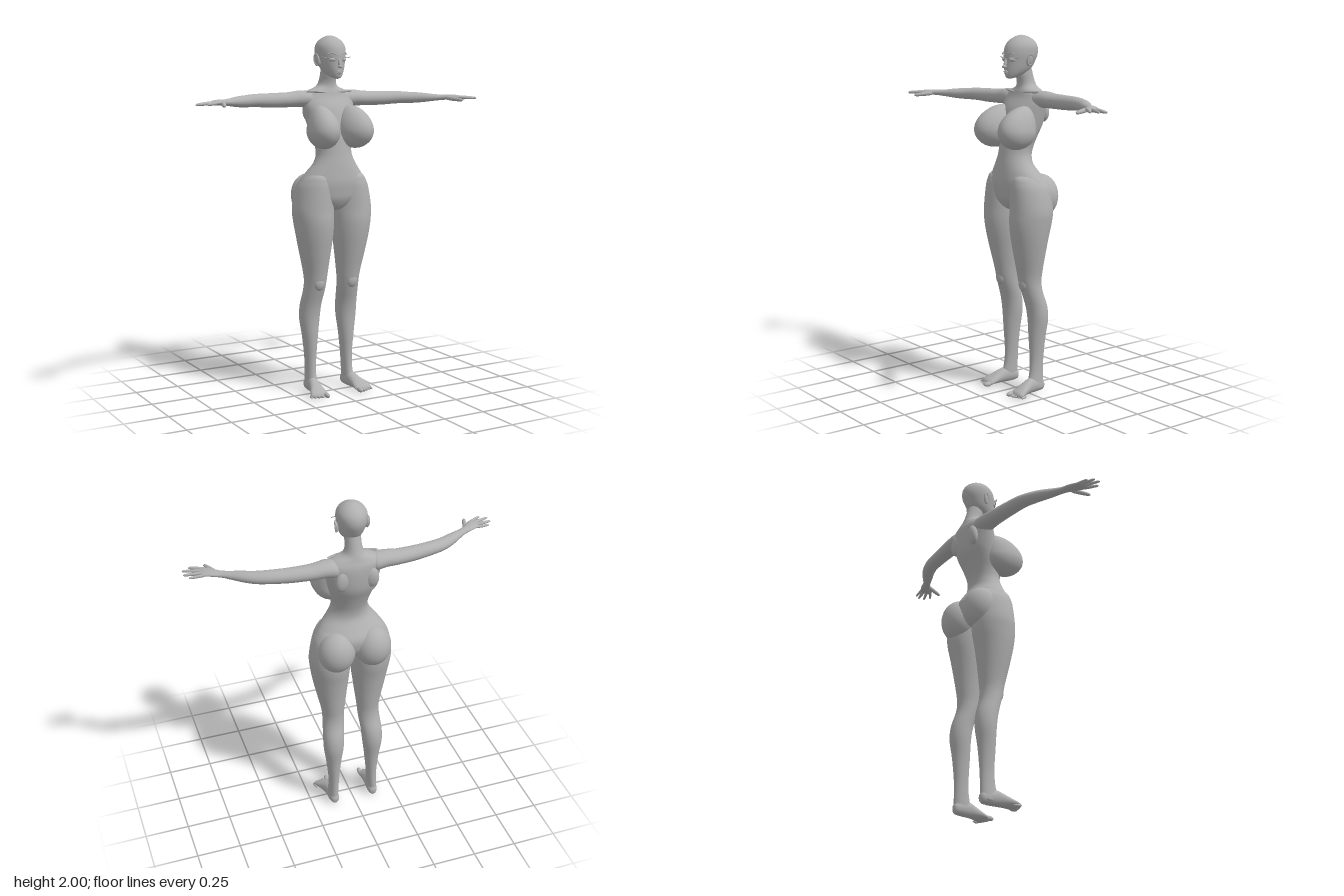
import * as THREE from 'three';

const X = new THREE.Vector3(1, 0, 0), Y = new THREE.Vector3(0, 1, 0), Z = new THREE.Vector3(0, 0, 1);

// Smooth curve through rows of numbers, column by column
function refine(rows, sub) {
  const out = [];
  const at = i => rows[Math.min(Math.max(i, 0), rows.length - 1)];
  for (let i = 0; i < rows.length - 1; i++) {
    for (let k = 0; k < sub; k++) {
      const t = k / sub;
      out.push(rows[i].map((b, c) => {
        const a = at(i - 1)[c], d = at(i + 1)[c], e = at(i + 2)[c];
        return b + 0.5 * t * (d - a + t * (2 * a - 5 * b + 4 * d - e + t * (3 * (b - d) + e - a)));
      }));
    }
  }
  out.push(rows[rows.length - 1]);
  return out;
}

// Skin over elliptical rings [x, y, z, radiusU, radiusV]; u cross v points along the rows
function loft(rows, u, v, n = 32, sub = 4) {
  const rings = refine(rows, sub), pos = [], index = [];
  rings.forEach(([x, y, z, a, b], i) => {
    for (let j = 0; j < n; j++) {
      const th = (j / n) * Math.PI * 2;
      const c = Math.cos(th) * Math.max(a, 0.0002), s = Math.sin(th) * Math.max(b, 0.0002);
      pos.push(x + u.x * c + v.x * s, y + u.y * c + v.y * s, z + u.z * c + v.z * s);
      if (i === rings.length - 1) continue;
      const p = i * n + j, q = i * n + (j + 1) % n;
      index.push(p, q, p + n, q, q + n, p + n);
    }
  });
  const g = new THREE.BufferGeometry();
  g.setAttribute('position', new THREE.Float32BufferAttribute(pos, 3));
  g.setIndex(index);
  g.computeVertexNormals();
  return g;
}

// Upright loft from [y, xMin, xMax, zBack, zFront]
const upright = (rows, n) => loft(rows.map(([y, x0, x1, z0, z1]) =>
  [(x0 + x1) / 2, y, (z0 + z1) / 2, (z1 - z0) / 2, (x1 - x0) / 2]), Z, X, n);

// Tapered finger between two points
function finger(a, b, r) {
  const A = new THREE.Vector3(...a), B = new THREE.Vector3(...b);
  const u = new THREE.Vector3().crossVectors(Y, B.clone().sub(A)).normalize();
  const rows = [[0, 0], [0.05, 0.9], [0.4, 1], [0.75, 0.85], [0.94, 0.6], [1, 0]].map(([t, k]) =>
    [...A.clone().lerp(B, t).toArray(), r * k, r * k]);
  return loft(rows, u, Y, 12, 3);
}

function ball([x, y, z], [a, b, c], [rx, ry, rz] = [0, 0, 0]) {
  return new THREE.SphereGeometry(1, 32, 24).scale(a, b, c)
    .rotateX(rx).rotateY(ry).rotateZ(rz).translate(x, y, z);
}

const strand = (pts, r) => new THREE.TubeGeometry(
  new THREE.CatmullRomCurve3(pts.map(p => new THREE.Vector3(...p))), 12, r, 6);

function mirrored(g) {
  const m = g.clone().scale(-1, 1, 1), id = m.index.array;
  for (let i = 0; i < id.length; i += 3) [id[i], id[i + 1]] = [id[i + 1], id[i]];
  m.computeVertexNormals();
  return m;
}

export function createModel() {
  const group = new THREE.Group();
  const clay = new THREE.MeshStandardMaterial({ color: 0xb0b0b0 });
  clay.name = 'grey clay';
  const add = (name, g) => {
    const mesh = new THREE.Mesh(g, clay);
    mesh.name = name;
    group.add(mesh);
  };
  const pair = (name, g) => {
    add('left ' + name, g);
    add('right ' + name, mirrored(g));
  };

  // Torso and neck: y, half width, back, front
  add('torso', upright([
    [1.035, 0, 0, 0], [1.05, 0.05, -0.06, 0.06], [1.1, 0.165, -0.12, 0.095], [1.15, 0.2, -0.14, 0.105],
    [1.2, 0.197, -0.14, 0.11], [1.25, 0.165, -0.11, 0.106], [1.3, 0.126, -0.08, 0.1],
    [1.35, 0.104, -0.08, 0.092], [1.4, 0.105, -0.095, 0.085], [1.45, 0.118, -0.115, 0.078],
    [1.52, 0.135, -0.145, 0.06], [1.6, 0.152, -0.153, 0.035], [1.66, 0.16, -0.15, 0],
    [1.695, 0.125, -0.138, -0.012], [1.72, 0.066, -0.13, -0.02], [1.75, 0.047, -0.12, -0.018],
    [1.8, 0.043, -0.105, -0.005], [1.85, 0.04, -0.09, -0.02],
  ].map(([y, w, b, f]) => [y, -w, w, b, f]), 48));

  // Head
  add('head', upright([
    [1.764, 0, 0.04, 0.045], [1.77, 0.022, 0.01, 0.06], [1.79, 0.043, -0.05, 0.066],
    [1.82, 0.06, -0.095, 0.068], [1.86, 0.072, -0.12, 0.067], [1.9, 0.08, -0.135, 0.067],
    [1.94, 0.079, -0.132, 0.056], [1.97, 0.062, -0.112, 0.033], [1.99, 0.036, -0.08, 0],
    [1.998, 0.015, -0.055, -0.025], [2, 0, -0.04, -0.04],
  ].map(([y, w, b, f]) => [y, -w, w, b, f]), 48));

  // Face
  add('nose bridge', ball([0, 1.85, 0.069], [0.008, 0.03, 0.011], [-0.3, 0, 0]));
  add('nose tip', ball([0, 1.831, 0.077], [0.012, 0.009, 0.014]));
  add('upper lip', ball([0, 1.804, 0.067], [0.018, 0.005, 0.009]));
  add('lower lip', ball([0, 1.795, 0.065], [0.015, 0.006, 0.01]));
  pair('eye', ball([0.034, 1.868, 0.052], [0.02, 0.011, 0.012], [0, 0.45, 0]));
  pair('eyelashes', strand([[0.016, 1.87, 0.066], [0.034, 1.88, 0.066], [0.055, 1.878, 0.052], [0.088, 1.882, 0.036]], 0.0025));
  pair('eyebrow', strand([[0.014, 1.893, 0.066], [0.036, 1.903, 0.061], [0.06, 1.897, 0.045]], 0.003));
  pair('ear', ball([0.08, 1.866, -0.035], [0.009, 0.033, 0.019], [-0.2, -0.35, -0.12]));
  pair('ear rim', new THREE.TorusGeometry(0.022, 0.004, 8, 24).scale(0.75, 1.35, 1)
    .rotateY(Math.PI / 2 - 0.35).rotateZ(-0.12).translate(0.086, 1.868, -0.036));

  // Bust: fuller below, sloping back into the chest above
  const bust = new THREE.SphereGeometry(1, 40, 32), p = bust.attributes.position;
  for (let i = 0; i < p.count; i++) {
    const x = p.getX(i), y = p.getY(i), z = p.getZ(i), up = Math.max(y, 0);
    p.setXYZ(i, 0.096 + x * 0.09 * (1 - 0.15 * up) + 0.015 * Math.max(z, 0),
      1.485 + y * (y > 0 ? 0.135 : 0.1), 0.07 + z * 0.118 - 0.05 * up * up);
  }
  bust.computeVertexNormals();
  pair('bust', bust);
  pair('collarbone', strand([[0.018, 1.69, -0.02], [0.07, 1.693, -0.022], [0.14, 1.695, -0.05]], 0.007));
  pair('shoulder blade', ball([0.075, 1.59, -0.125], [0.045, 0.065, 0.027], [0, 0.25, 0.2]));

  // Arms and hands
  pair('arm', loft([
    [0.08, 1.65, -0.08, 0, 0], [0.1, 1.65, -0.08, 0.045, 0.055], [0.17, 1.655, -0.08, 0.045, 0.054],
    [0.24, 1.651, -0.08, 0.041, 0.049], [0.35, 1.65, -0.072, 0.039, 0.044], [0.45, 1.652, -0.057, 0.035, 0.042],
    [0.52, 1.65, -0.035, 0.032, 0.041], [0.58, 1.65, -0.005, 0.028, 0.038], [0.64, 1.65, 0.03, 0.02, 0.029],
    [0.68, 1.651, 0.054, 0.016, 0.026], [0.72, 1.653, 0.08, 0.015, 0.038], [0.755, 1.652, 0.1, 0.013, 0.042],
    [0.775, 1.65, 0.107, 0.009, 0.037], [0.785, 1.65, 0.11, 0, 0],
  ], Y, Z));
  [
    ['little finger', [0.755, 1.65, 0.07], [0.842, 1.642, 0.08], 0.008],
    ['ring finger', [0.755, 1.653, 0.089], [0.865, 1.645, 0.113], 0.009],
    ['middle finger', [0.755, 1.654, 0.108], [0.863, 1.647, 0.151], 0.009],
    ['index finger', [0.745, 1.653, 0.125], [0.825, 1.647, 0.174], 0.009],
    ['thumb', [0.7, 1.648, 0.085], [0.738, 1.638, 0.19], 0.012],
  ].forEach(([name, a, b, r]) => pair(name, finger(a, b, r)));

  // Seat and legs
  pair('buttock', ball([0.104, 1.12, -0.09], [0.104, 0.122, 0.1]));
  pair('leg', upright([
    [0.01, 0.12, 0.122, -0.05, -0.048], [0.02, 0.095, 0.15, -0.095, -0.01], [0.06, 0.092, 0.15, -0.1, 0],
    [0.12, 0.09, 0.147, -0.1, -0.012], [0.2, 0.085, 0.149, -0.102, -0.016], [0.32, 0.073, 0.162, -0.112, -0.011],
    [0.42, 0.06, 0.176, -0.125, -0.008], [0.5, 0.054, 0.176, -0.118, 0.004], [0.58, 0.046, 0.17, -0.092, 0.028],
    [0.64, 0.042, 0.168, -0.085, 0.046], [0.7, 0.036, 0.176, -0.09, 0.058], [0.8, 0.024, 0.198, -0.102, 0.08],
    [0.9, 0.012, 0.218, -0.118, 0.1], [0.98, 0.006, 0.23, -0.135, 0.109], [1.05, 0.004, 0.235, -0.14, 0.106],
    [1.15, 0.008, 0.218, -0.14, 0.103], [1.2, 0.02, 0.198, -0.12, 0.098], [1.24, 0.05, 0.165, -0.08, 0.08],
    [1.27, 0.1, 0.102, 0, 0.002],
  ], 40));
  pair('kneecap', ball([0.105, 0.635, 0.025], [0.035, 0.045, 0.025]));

  // Feet
  pair('foot', loft([
    [0.12, 0.035, -0.106, 0, 0], [0.12, 0.034, -0.097, 0.021, 0.028], [0.121, 0.04, -0.06, 0.03, 0.04],
    [0.125, 0.043, -0.01, 0.032, 0.043], [0.133, 0.033, 0.04, 0.039, 0.033], [0.14, 0.022, 0.08, 0.049, 0.022],
    [0.143, 0.015, 0.105, 0.046, 0.015], [0.143, 0.013, 0.115, 0, 0],
  ], X, Y));
  for (let i = 0; i < 5; i++) {
    const r = i ? 0.0095 - i * 0.0004 : 0.014;
    pair('toe ' + (i + 1), ball([i ? 0.114 + i * 0.0185 : 0.107, r, 0.118 - i * 0.008],
      [r, r, i ? 0.023 : 0.027], [0, 0.08 * i, 0]));
  }
  return group;
}
